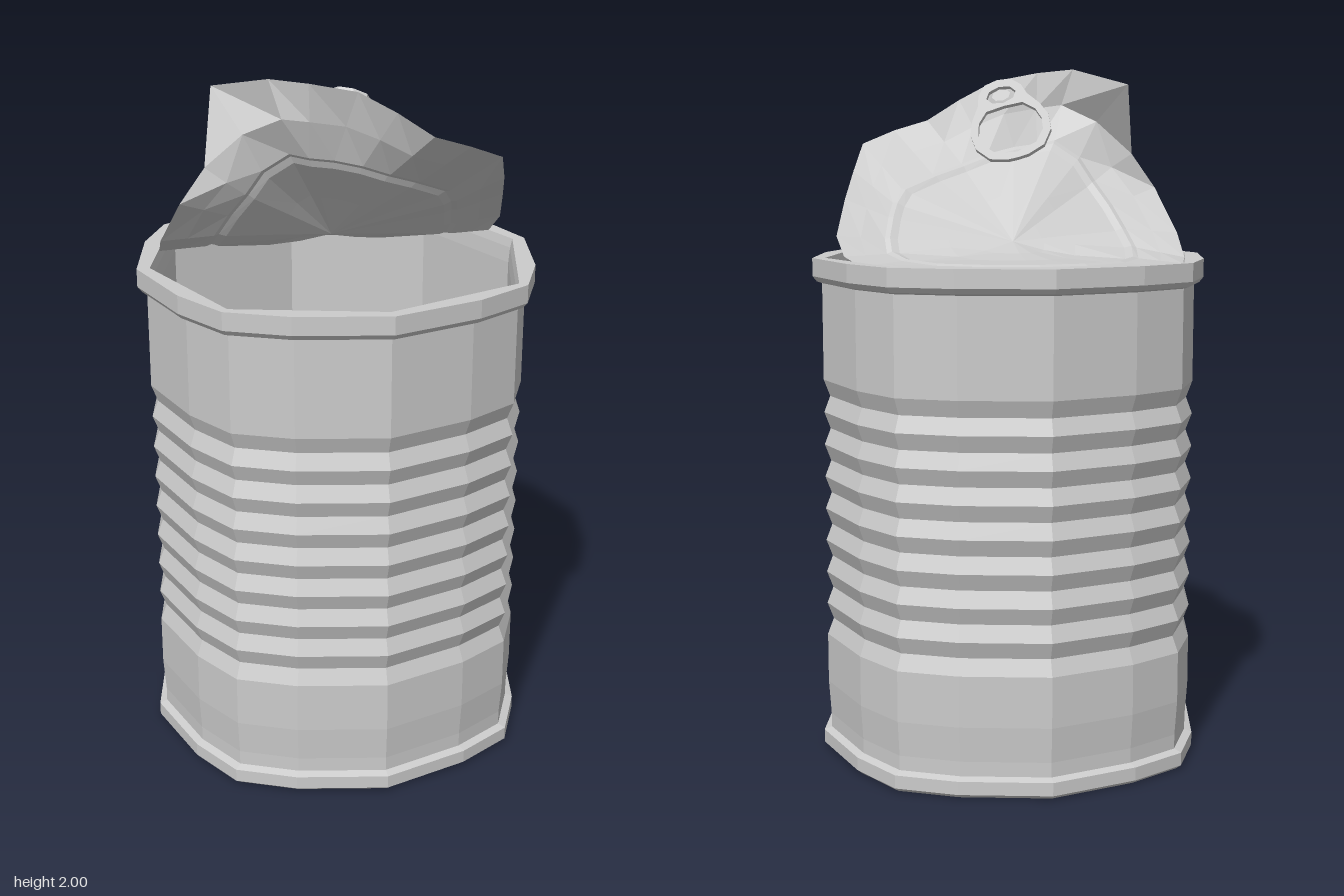
import * as THREE from 'three';

const flat = () => new THREE.MeshStandardMaterial({ color: 0xcccccc, flatShading: true, side: THREE.DoubleSide });

// Skin a list of closed loops (arrays of Vector3) into a faceted surface
function loft(loops) {
  const n = loops[0].length, pos = [], idx = [];
  loops.forEach(l => l.forEach(p => pos.push(p.x, p.y, p.z)));
  for (let i = 0; i < loops.length - 1; i++) {
    for (let k = 0; k < n; k++) {
      const a = i * n + k, b = i * n + (k + 1) % n;
      idx.push(a, a + n, b, b, a + n, b + n);
    }
  }
  let g = new THREE.BufferGeometry();
  g.setAttribute('position', new THREE.Float32BufferAttribute(pos, 3));
  g.setIndex(idx);
  g = g.toNonIndexed();
  g.computeVertexNormals();
  return g;
}

// Sixteen-point ring: slightly uneven outside, plain octagon inside
function ring(r, y, octagon) {
  const quarter = octagon
    ? [[1, 0], [0.875, 0.375], [0.75, 0.75], [0.375, 0.875]]
    : [[1, 0], [0.884, 0.45], [0.735, 0.735], [0.45, 0.884]];
  const pts = [];
  for (let q = 0; q < 4; q++) {
    for (const [a, b] of quarter) {
      const [x, z] = [[a, b], [-b, a], [-a, -b], [b, -a]][q];
      pts.push(new THREE.Vector3(x * r, y, z * r));
    }
  }
  return pts;
}

function makeCan() {
  // Underside with shallow pressed steps, then the foot rim
  const under = [[0, 0.012], [0.31, 0.012], [0.34, 0.018], [0.42, 0.018], [0.45, 0.012], [0.52, 0.01]];
  const outer = [[0.55, 0], [0.565, 0.012], [0.565, 0.05], [0.543, 0.058], [0.543, 0.1], [0.55, 0.2]];
  // Eight pressed ribs
  const ribs = [];
  for (let i = 0; i < 8; i++) ribs.push([0.55, 0.345 + i * 0.095], [0.532, 0.392 + i * 0.095]);
  ribs.push([0.55, 1.105]);
  const top = [[0.55, 1.385], [0.565, 1.39], [0.577, 1.405], [0.577, 1.457]];
  const inner = [[0.54, 1.457], [0.534, 1.43], [0.53, 1.385],
    ...ribs.slice().reverse().map(([r, y]) => [r - 0.02, y]),
    [0.52, 0.035], [0.45, 0.035], [0.42, 0.045], [0.34, 0.045], [0.31, 0.035], [0, 0.035]];
  return loft([
    ...under.map(([r, y]) => ring(r, y, true)),
    ...[...outer, ...ribs, ...top].map(([r, y]) => ring(r, y, false)),
    ...inner.map(([r, y]) => ring(r, y, true)),
  ]);
}

const toPoints = rows => rows.map(p => new THREE.Vector3(...p));

// Torn edge of the lid, from the hinge at the back round by +x
const lidEdge = toPoints([
  [0, 1.44, -0.535], [0.2, 1.44, -0.468], [0.402, 1.44, -0.402], [0.465, 1.445, -0.2], [0.495, 1.465, -0.08],
  [0.51, 1.52, -0.03], [0.47, 1.62, 0.09], [0.43, 1.7, 0.2], [0.39, 1.78, 0.285], [0.29, 1.82, 0.31],
  [0.19, 1.85, 0.3], [0.1, 1.91, 0.255], [0, 1.965, 0.22], [-0.13, 1.99, 0.2], [-0.23, 2, 0.16],
  [-0.345, 1.95, -0.04], [-0.39, 1.75, 0.07], [-0.46, 1.65, 0.06], [-0.5, 1.52, -0.04], [-0.485, 1.455, -0.16],
  [-0.445, 1.445, -0.27], [-0.402, 1.44, -0.402], [-0.2, 1.44, -0.468]]);

// Bead around the dished panel, matched point for point with the edge
const lidBead = toPoints([
  [0, 1.45, -0.395], [0.15, 1.45, -0.36], [0.27, 1.45, -0.28], [0.34, 1.455, -0.15], [0.37, 1.47, -0.06],
  [0.37, 1.51, -0.02], [0.35, 1.57, 0.04], [0.33, 1.61, 0.09], [0.3, 1.65, 0.12], [0.2, 1.69, 0.15],
  [0.11, 1.72, 0.165], [0.03, 1.75, 0.17], [-0.05, 1.77, 0.165], [-0.12, 1.78, 0.16], [-0.17, 1.79, 0.14],
  [-0.24, 1.74, 0.11], [-0.28, 1.67, 0.08], [-0.32, 1.6, 0.03], [-0.35, 1.53, -0.02], [-0.36, 1.48, -0.09],
  [-0.34, 1.455, -0.18], [-0.27, 1.45, -0.28], [-0.14, 1.45, -0.37]]);

function makeLid() {
  const centre = new THREE.Vector3(0, 1.5, -0.05);
  // Loop inside the bead; the flat back stays low while the front climbs
  const inward = (t, lift) => lidBead.map(p => {
    const q = p.clone().lerp(centre, t);
    if (p.z < -0.1) q.y = p.y + 0.05 * t * t * t;
    const up = THREE.MathUtils.clamp((p.y - 1.45) / 0.3, 0, 1);
    return q.add(new THREE.Vector3(0, 1 - 0.6 * up, -0.9 * up).multiplyScalar(lift));
  });
  // Crumple halfway out, pushed forward where the corner curls back
  const crumple = lidEdge.map((p, i) => {
    const q = p.clone().lerp(lidBead[i], 0.5);
    q.z += { 13: 0.01, 14: 0.03, 15: 0.08, 16: 0.02 }[i] || 0;
    return q;
  });
  return loft([lidEdge, crumple, lidBead, inward(0.04, 0.005), inward(0.1, -0.002), inward(0.5, 0),
    inward(0.75, 0), lidEdge.map(() => centre)]);
}

// Faceted closed outline from half-width/length pairs, mirrored in x
function mirrored(Type, half) {
  const right = half.map(([x, t]) => new THREE.Vector2(x, t));
  const left = half.slice().reverse().filter(([x]) => x > 0).map(([x, t]) => new THREE.Vector2(-x, t));
  return new Type([...right, ...left]);
}

function makeTab() {
  const tab = new THREE.Group();
  tab.name = 'pullTab';
  const plate = mirrored(THREE.Shape, [[0, 0], [0.04, 0.01], [0.065, 0.05], [0.075, 0.1], [0.102, 0.16],
    [0.117, 0.22], [0.112, 0.29], [0.08, 0.35], [0.03, 0.373], [0, 0.375]]);
  plate.holes.push(
    mirrored(THREE.Path, [[0, 0.13], [0.055, 0.135], [0.085, 0.18], [0.095, 0.23], [0.09, 0.28], [0.06, 0.33], [0, 0.35]]),
    new THREE.Path().setFromPoints(Array.from({ length: 8 }, (_, i) => new THREE.Vector2(
      0.045 * Math.cos(i * Math.PI / 4), 0.075 + 0.04 * Math.sin(i * Math.PI / 4)))));
  const ringPlate = new THREE.Mesh(new THREE.ExtrudeGeometry(plate, { depth: 0.01, bevelEnabled: false }), flat());
  ringPlate.name = 'tabRing';
  const rivet = new THREE.Mesh(new THREE.CylinderGeometry(0.028, 0.045, 0.015, 8), flat());
  rivet.name = 'rivet';
  rivet.rotation.x = Math.PI / 2;
  rivet.position.set(0, 0.075, 0.002);
  tab.add(ringPlate, rivet);
  // Lean back from the lid's raised edge, with a slight twist
  tab.quaternion.setFromRotationMatrix(new THREE.Matrix4().makeBasis(
    new THREE.Vector3(1, 0, 0), new THREE.Vector3(0, -0.6, -0.8), new THREE.Vector3(0, 0.8, -0.6)));
  tab.rotateY(0.34);
  tab.position.set(-0.005, 1.96, 0.19);
  return tab;
}

export function createModel() {
  const model = new THREE.Group();
  model.name = 'openTinCan';
  const can = new THREE.Mesh(makeCan(), flat());
  can.name = 'canBody';
  const lid = new THREE.Mesh(makeLid(), flat());
  lid.name = 'bentLid';
  model.add(can, lid, makeTab());
  return model;
}
